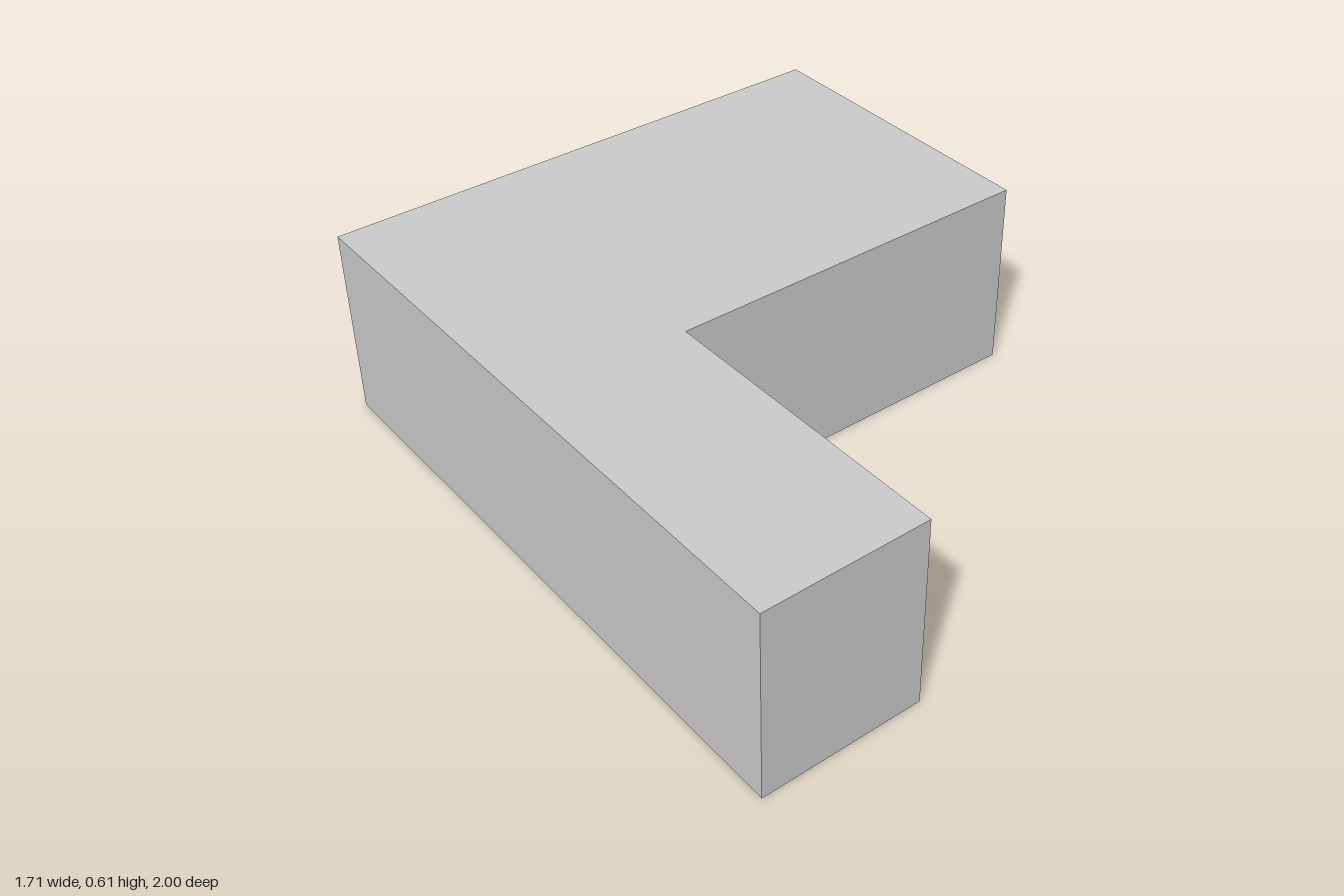
import * as THREE from 'three';

const HEIGHT = 0.613;
const DOOR_HEIGHT = 0.469;

// L-shaped plan as [x, z] corners; each wall runs from its corner to the next.
// door: start and end of a doorway, measured along the wall.
const WALLS = [
  { name: 'wingFrontWall', at: [-0.855, 1] },
  { name: 'wingInnerWall', at: [-0.344, 1], door: [0.037, 0.3] },
  { name: 'hallFrontWall', at: [-0.344, 0.018] },
  { name: 'hallEndWall', at: [0.855, 0.018] },
  { name: 'backWall', at: [0.855, -1], door: [1.0, 1.262] },
  { name: 'longSideWall', at: [-0.855, -1] },
];

const polygon = (points) => new THREE.Shape(points.map(([x, y]) => new THREE.Vector2(x, y)));

export function createModel() {
  const model = new THREE.Group();
  model.name = 'building';
  const material = new THREE.MeshStandardMaterial({
    color: 0xcccccc, flatShading: true, side: THREE.DoubleSide,
  });
  const addPart = (name, geometry) => {
    const mesh = new THREE.Mesh(geometry, material);
    mesh.name = name;
    model.add(mesh);
    return mesh;
  };

  // Thin walls facing outward, with doorways cut up from the floor
  WALLS.forEach(({ name, at: [x, z], door }, i) => {
    const [nextX, nextZ] = WALLS[(i + 1) % WALLS.length].at;
    const length = Math.hypot(nextX - x, nextZ - z);
    const notch = door
      ? [[door[0], 0], [door[0], DOOR_HEIGHT], [door[1], DOOR_HEIGHT], [door[1], 0]]
      : [];
    const outline = polygon([[0, 0], ...notch, [length, 0], [length, HEIGHT], [0, HEIGHT]]);
    const wall = addPart(name, new THREE.ShapeGeometry(outline));
    wall.position.set(x, 0, z);
    wall.rotation.y = Math.atan2(z - nextZ, nextX - x);
  });

  // Floor faces down, flat roof faces up
  const plan = WALLS.map((wall) => wall.at);
  addPart('floor', new THREE.ShapeGeometry(polygon(plan)).rotateX(Math.PI / 2));
  const roofPlan = polygon(plan.map(([x, z]) => [x, -z]));
  addPart('roof', new THREE.ShapeGeometry(roofPlan).rotateX(-Math.PI / 2)).position.y = HEIGHT;

  return model;
}
